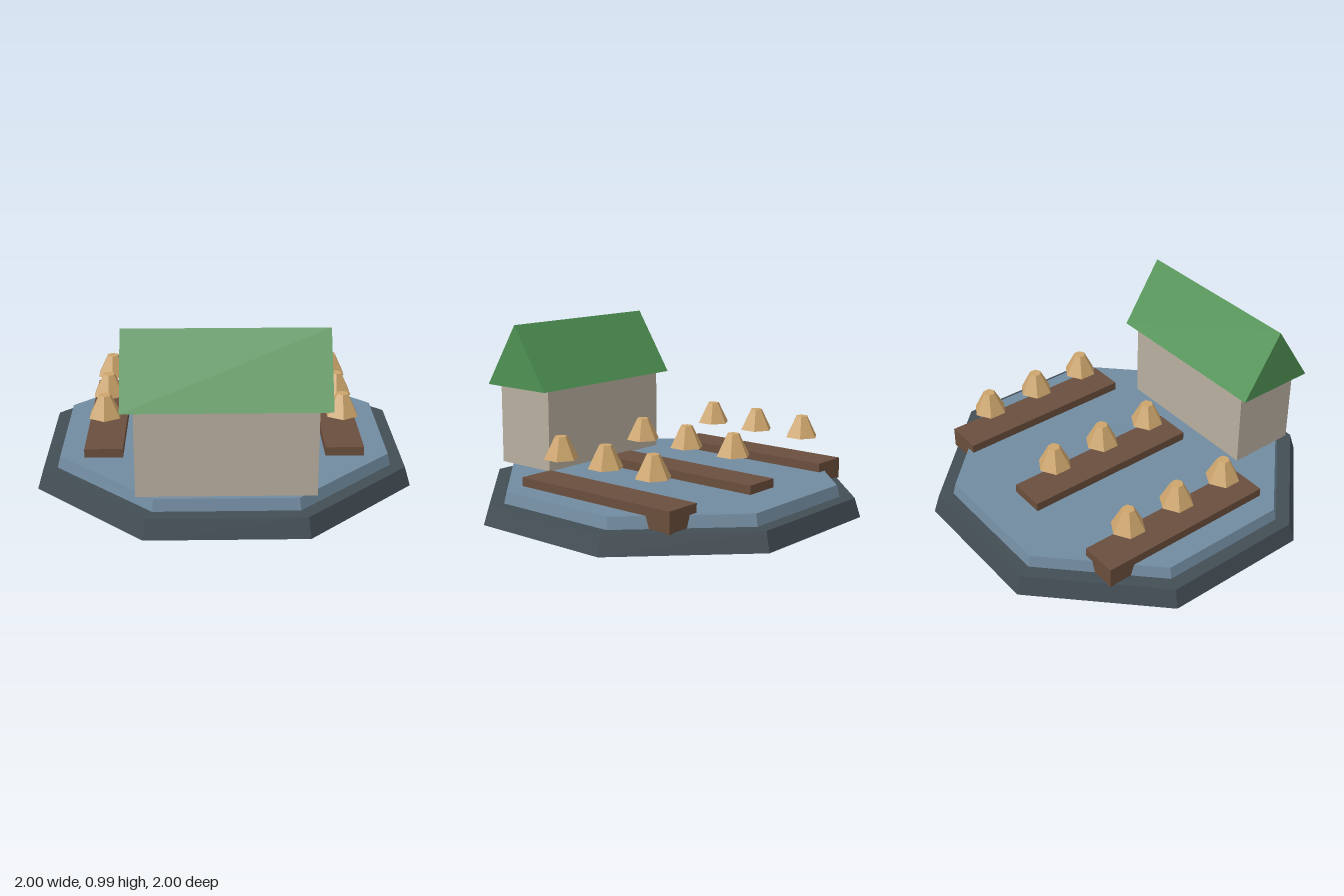
import * as THREE from 'three';

const paint = (name, color) => {
  const m = new THREE.MeshStandardMaterial({ color, flatShading: true });
  m.name = name;
  return m;
};

export function createModel() {
  const model = new THREE.Group();
  model.name = 'gardenIsland';

  const stone = paint('dark stone', 0x434d55);
  const slate = paint('blue slate', 0x718ba0);
  const soil = paint('brown soil', 0x6a4e3d);
  const straw = paint('straw', 0xcda56c);
  const plaster = paint('plaster', 0xb9afa0);
  const green = paint('green roof', 0x4f9153);

  const add = (name, geometry, material, x, y, z) => {
    const mesh = new THREE.Mesh(geometry, material);
    mesh.name = name;
    mesh.position.set(x, y, z);
    model.add(mesh);
    return mesh;
  };

  // Tapered octagon slab, sized by the distance from centre to flat side
  const octagon = (top, bottom, height) => {
    const k = 1 / Math.cos(Math.PI / 8);
    return new THREE.CylinderGeometry(top * k, bottom * k, height, 8).rotateY(Math.PI / 8);
  };
  add('base', octagon(0.97, 1, 0.103), stone, 0, 0.0515, 0);
  add('terrace', octagon(0.88, 0.895, 0.064), slate, 0, 0.134, 0);

  // Three planting beds, each with a row of six-sided cones above it
  const bed = new THREE.BoxGeometry(0.206, 0.117, 1.034);
  const cone = new THREE.CylinderGeometry(0.034, 0.095, 0.12, 6);
  for (const x of [-0.645, 0, 0.645]) {
    add('plantingBed', bed, soil, x, 0.1565, -0.132);
    for (const z of [-0.455, -0.132, 0.191]) add('plantCone', cone, straw, x, 0.39, z);
  }

  // House walls
  add('houseWalls', new THREE.BoxGeometry(0.906, 0.458, 0.386), plaster, 0, 0.404, 0.68);

  // Gable roof: a triangular prism running along x
  const gable = new THREE.Shape([
    new THREE.Vector2(-0.23, 0),
    new THREE.Vector2(0.23, 0),
    new THREE.Vector2(0, 0.355),
  ]);
  const roof = new THREE.ExtrudeGeometry(gable, { depth: 1.034, bevelEnabled: false });
  roof.translate(0, 0, -0.517).rotateY(Math.PI / 2);
  add('houseRoof', roof, green, 0, 0.633, 0.68);

  return model;
}
